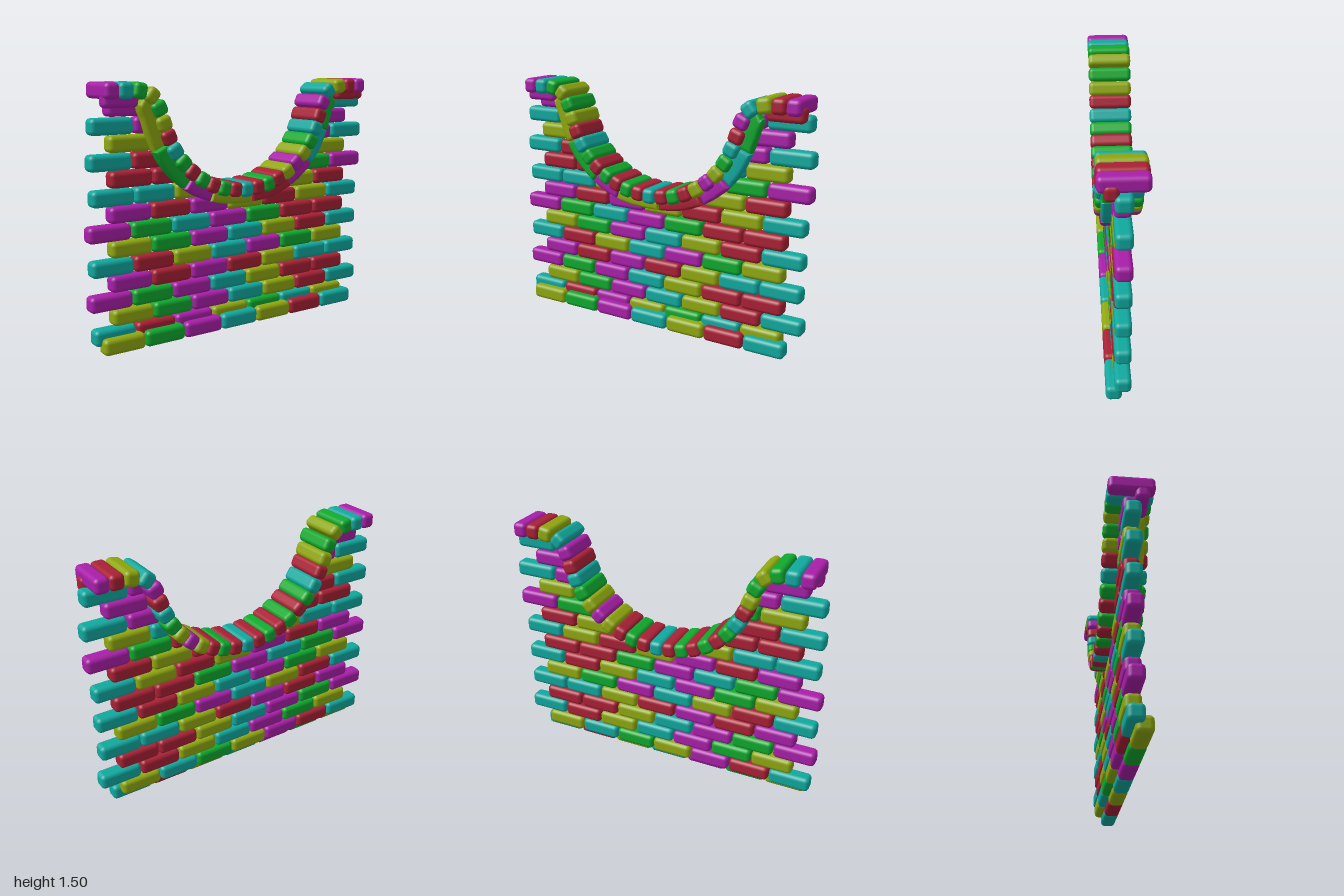
import * as THREE from 'three';
import { RoundedBoxGeometry } from 'three/addons/geometries/RoundedBoxGeometry.js';
import { toCreasedNormals } from 'three/addons/utils/BufferGeometryUtils.js';

const material = (color) => new THREE.MeshStandardMaterial({ color });
const MATERIALS = {
  T: material(0x10a89e), // teal
  G: material(0x0fa82e), // green
  O: material(0x8fa810), // olive
  R: material(0xa82035), // red
  M: material(0xa81fa8), // magenta
};

function brick(parent, name, key, size, position, angle = 0) {
  const radius = Math.min(0.026, Math.min(...size) * 0.45);
  const mesh = new THREE.Mesh(new RoundedBoxGeometry(...size, 3, radius), MATERIALS[key]);
  mesh.name = name;
  mesh.position.set(...position);
  mesh.rotation.z = angle;
  parent.add(mesh);
}

// Centre line of the sagging coping, left half from the end to the middle
const HALF = [
  [0.875, 1.46], [0.79, 1.46], [0.705, 1.458], [0.632, 1.43], [0.588, 1.36],
  [0.56, 1.277], [0.53, 1.2], [0.49, 1.12], [0.437, 1.05], [0.378, 0.993],
  [0.31, 0.943], [0.236, 0.906], [0.16, 0.88], [0.08, 0.866],
];
const path = [
  ...HALF.map(([x, y]) => new THREE.Vector3(-x, y, 0)),
  new THREE.Vector3(0, 0.86, 0),
  ...HALF.map(([x, y], i) => new THREE.Vector3(x + (i < 3 ? 0.02 : 0.005), y, 0)).reverse(),
];
const LAST = path.length - 1;
const curve = new THREE.CatmullRomCurve3(path);

// Half width of the opening at height y
function openingAt(y) {
  for (let i = 3; i < HALF.length - 1; i++) {
    const [x0, y0] = HALF[i], [x1, y1] = HALF[i + 1];
    if (y <= y0 && y >= y1) return x1 + (x0 - x1) * (y - y1) / (y0 - y1);
  }
  return 0;
}

// Wall courses from the ground up: start x, end x, brick colours
const COURSES = [
  [-0.98, 0.845, 'TRMOGTO'],
  [-0.865, 0.975, 'OGMTORT'],
  [-1.0, 0.85, 'MGMTORR'],
  [-0.87, 0.96, 'MRMROTT'],
  [-0.985, 0.845, 'TROTMGO'],
  [-0.865, 0.965, 'OGMTORT'],
  [-1.0, 0.85, 'MGTMGRR'],
  [-0.868, 0.965, 'MRMOROT'],
  [-0.972, 0.855, 'TTOTROR'],
  [-0.86, 0.992, 'RRMTRGM'],
  [-0.982, 0.855, 'TRMTOTO'],
  [-0.865, 0.995, 'OGMTOMT'],
  [-0.97, 0.86, 'TMGTOGM'],
  [-0.87, 0.975, 'MRMTOMT'],
];

function buildWall() {
  const wall = new THREE.Group();
  wall.name = 'wall';
  COURSES.forEach(([start, end, colors], row) => {
    const y = 0.098 + row * 0.0975;
    const pitch = (end - start) / colors.length;
    const gap = row > 7 ? openingAt(y + 0.03) : 0;
    [...colors].forEach((key, i) => {
      const a = start + i * pitch + 0.003, b = a + pitch - 0.006;
      // Cut bricks where they meet the opening
      const spans = gap ? [[a, Math.min(b, -gap)], [Math.max(a, gap), b]] : [[a, b]];
      for (const [from, to] of spans) {
        if (to - from > 0.05) {
          brick(wall, 'wallBrick', key, [to - from, 0.093, 0.092], [(from + to) / 2, y, 0]);
        }
      }
    });
  });
  return wall;
}

// Footing course laid just in front of the wall
function buildFooting() {
  const footing = new THREE.Group();
  footing.name = 'footing';
  [...'OGMTORT'].forEach((key, i) => {
    brick(footing, 'footingBrick', key, [0.257, 0.094, 0.092], [-0.815 + i * 0.262, 0.052, 0.046]);
  });
  return footing;
}

// Wide blocks standing across the top edge
function buildCoping() {
  const coping = new THREE.Group();
  coping.name = 'coping';
  [...'MTGOGORTGRGRGRTRGROMOGTRMTORM'].forEach((key, i) => {
    const before = path[Math.max(i - 1, 0)], after = path[Math.min(i + 1, LAST)];
    const width = before.distanceTo(after) / (i === 0 || i === LAST ? 1 : 2);
    const t = curve.getTangent(i / LAST);
    const angle = i < 2 || i > LAST - 2 ? 0 : Math.atan2(t.y, t.x);
    brick(coping, 'copingBlock', key, [width, 0.09, 0.264], path[i].toArray(), angle);
  });
  return coping;
}

// Curved bricks following the underside of the coping on the front
function buildTrim() {
  const trim = new THREE.Group();
  trim.name = 'frontTrim';
  const STEPS = 10, BEVEL = 0.018;
  const cuts = [2.6, 6.4, 9.3, 11.3, 14.6, 17.9, 20, 22.3, 25.4];
  [...'OGMORMTG'].forEach((key, n) => {
    const upper = [], lower = [];
    for (let s = 0; s <= STEPS; s++) {
      const from = cuts[n] + 0.22, to = cuts[n + 1] - 0.22;
      const u = (from + (to - from) * s / STEPS) / LAST;
      const p = curve.getPoint(u), t = curve.getTangent(u);
      // The trim shows more on the steep sides than at the bottom
      const depth = 0.083 + 0.026 * Math.min(1, Math.abs(p.x) / 0.5) - BEVEL;
      const offset = (d) => new THREE.Vector2(p.x + t.y * d, p.y - t.x * d);
      upper.push(offset(0.025));
      lower.push(offset(depth));
    }
    const shape = new THREE.Shape([...lower, ...upper.reverse()]);
    const geometry = new THREE.ExtrudeGeometry(shape, {
      depth: 0.07 - 2 * BEVEL, bevelEnabled: true,
      bevelSize: BEVEL, bevelThickness: BEVEL, bevelSegments: 3,
    });
    const mesh = new THREE.Mesh(toCreasedNormals(geometry, 0.9), MATERIALS[key]);
    mesh.name = 'trimBrick';
    mesh.position.z = 0.03 + BEVEL;
    trim.add(mesh);
  });
  // Straight end bricks below the outer coping
  brick(trim, 'trimEndLeft', 'R', [0.22, 0.09, 0.08], [0.838, 1.418, 0.06]);
  brick(trim, 'trimEndRight', 'M', [0.21, 0.09, 0.08], [-0.81, 1.413, 0.06]);
  return trim;
}

export function createModel() {
  const model = new THREE.Group();
  model.name = 'brickWall';
  model.add(buildWall(), buildFooting(), buildCoping(), buildTrim());
  return model;
}
